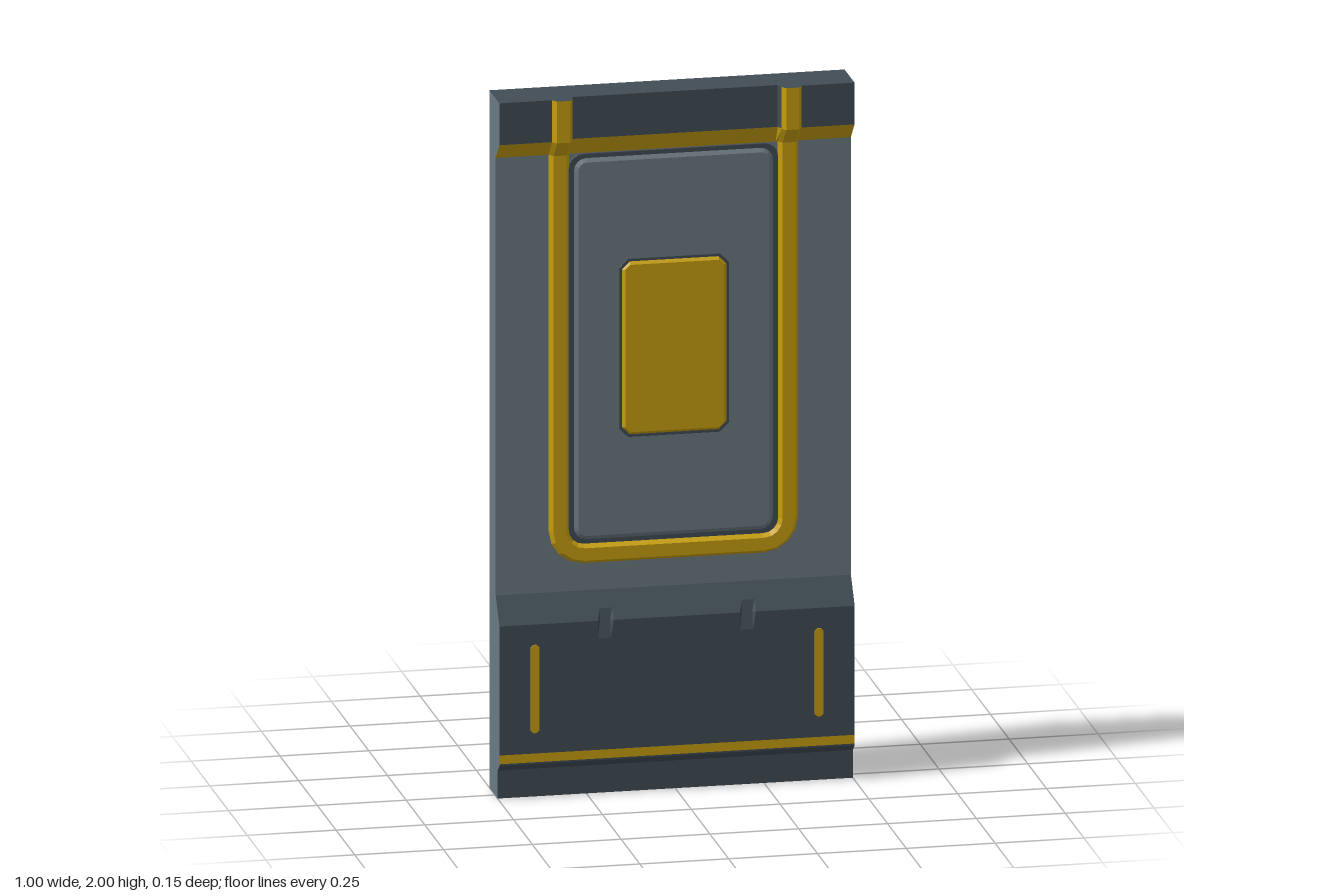
import * as THREE from 'three';

const paint = (name, color) => Object.assign(new THREE.MeshStandardMaterial({ color }), { name });
const GREY = 0, DARK = 1, GOLD = 2;

// Skin a row of cross-sections with flat faces; strips[j] is the colour of profile edge j.
// caps: [{ ring, axes, dir, mat }] closes an end.
function loft(name, mats, rings, strips, caps = []) {
  const buckets = mats.map(() => []);
  const n = rings[0].length;
  for (let i = 0; i < rings.length - 1; i++) {
    strips.forEach((m, j) => {
      const k = (j + 1) % n;
      const a = rings[i][j], b = rings[i][k], c = rings[i + 1][k], d = rings[i + 1][j];
      buckets[m].push(...a, ...d, ...c, ...a, ...c, ...b);
    });
  }
  for (const { ring, axes: [u, v], dir, mat } of caps) {
    const flat = ring.map(p => new THREE.Vector2(p[u], p[v]));
    for (const f of THREE.ShapeUtils.triangulateShape(flat, [])) {
      const [a, b, c] = f.map(i => new THREE.Vector3(...ring[i]));
      const nrm = b.clone().sub(a).cross(c.clone().sub(a));
      const order = nrm.dot(new THREE.Vector3(...dir)) > 0 ? [a, b, c] : [a, c, b];
      order.forEach(p => buckets[mat].push(p.x, p.y, p.z));
    }
  }
  const geo = new THREE.BufferGeometry();
  geo.setAttribute('position', new THREE.Float32BufferAttribute(buckets.flat(), 3));
  let start = 0;
  buckets.forEach((b, m) => {
    if (b.length) geo.addGroup(start, b.length / 3, m);
    start += b.length / 3;
  });
  geo.computeVertexNormals();
  const mesh = new THREE.Mesh(geo, mats);
  mesh.name = name;
  return mesh;
}

// Clockwise outline of a rectangle with rounded (or chamfered) corners
function roundRect(x0, x1, y0, y1, r, seg, z) {
  const pts = [];
  const corners = [[x1 - r, y1 - r, 90], [x1 - r, y0 + r, 0], [x0 + r, y0 + r, -90], [x0 + r, y1 - r, -180]];
  for (const [cx, cy, start] of corners) {
    for (let s = 0; s <= seg; s++) {
      const a = THREE.MathUtils.degToRad(start - 90 * s / seg);
      pts.push([cx + r * Math.cos(a), cy + r * Math.sin(a), z]);
    }
  }
  return pts;
}

// Raised plate with a bevelled edge
function plate(name, mats, mat, [x0, x1, y0, y1], r, seg, z0, z1, bevel) {
  const base = roundRect(x0, x1, y0, y1, r, seg, z0);
  const face = roundRect(x0 + bevel, x1 - bevel, y0 + bevel, y1 - bevel, Math.max(r - bevel, r * 0.5), seg, z1);
  return loft(name, mats, [base, face], base.map(() => mat),
    [{ ring: face, axes: [0, 1], dir: [0, 0, 1], mat }]);
}

export function createModel() {
  const group = new THREE.Group();
  const mats = [paint('steel grey', 0x6c7a82), paint('dark slate', 0x414d55), paint('gold', 0xc8a010)];

  // Wall body: side profile carried across x, with a recessed header and two notches
  const section = (x, top, notch) => [
    [-0.075, 0], [0.036, 0], [0.036, 0.08], [0.06, 0.1], [0.06, 0.105], [0.06, 0.13], [0.06, 0.45],
    [notch ? 0.0475 : 0.06, 0.5], [0.04, 0.53], [0.01, 0.575], [0.01, 1.83],
    [top, 1.88], [top, 2], [-0.075, 2],
  ].map(([z, y]) => [x, y, z]);
  const HIGH = 0.058, LOW = 0.038;
  const half = [[0.5, HIGH, 0], [0.296, HIGH, 0], [0.288, LOW, 0], [0.222, LOW, 0],
    [0.214, LOW, 1], [0.186, LOW, 1], [0.178, LOW, 0]];
  const rings = [...half.map(([x, t, k]) => section(-x, t, k)),
    ...half.slice().reverse().map(([x, t, k]) => section(x, t, k))];
  const strips = [GREY, DARK, DARK, DARK, GOLD, DARK, DARK, DARK, DARK, GREY, GOLD, DARK, DARK, GREY];
  group.add(loft('wallBody', mats, rings, strips, [
    { ring: rings[0], axes: [2, 1], dir: [-1, 0, 0], mat: GREY },
    { ring: rings[rings.length - 1], axes: [2, 1], dir: [1, 0, 0], mat: GREY },
  ]));

  // U-shaped rail: trapezoid swept down one side, round the corners and up the other
  const X = 0.3225, R = 0.07, Y = 0.682;
  const path = [[-X, 2, HIGH, 1, 0], [-X, 1.88, HIGH, 1, 0], [-X, 1.83, 0.01, 1, 0]];
  for (let s = 0; s <= 4; s++) {
    const a = s / 4 * Math.PI / 2;
    path.push([-X + R - R * Math.cos(a), Y + R - R * Math.sin(a), 0.01, Math.cos(a), Math.sin(a)]);
  }
  path.push(...path.slice().reverse().map(([x, y, z, nx, ny]) => [-x, y, z, -nx, ny]));
  const trapezoid = [[-0.0285, 0], [-0.018, 0.016], [0.018, 0.016], [0.0285, 0]];
  const rail = path.map(([x, y, z, nx, ny]) => trapezoid.map(([o, h]) => [x + nx * o, y + ny * o, z + h]));
  group.add(loft('frameRail', mats, rail, [GOLD, GOLD, GOLD],
    [rail[0], rail[rail.length - 1]].map(ring => ({ ring, axes: [0, 2], dir: [0, 1, 0], mat: DARK }))));

  // Dark channel, raised inner panel and gold centre plate
  group.add(plate('panelChannel', mats, DARK, [-0.295, 0.295, 0.705, 1.828], 0.04, 4, 0.01, 0.0115, 0.001));
  group.add(plate('innerPanel', mats, GREY, [-0.28, 0.28, 0.722, 1.815], 0.035, 4, 0.0115, 0.019, 0.011));
  group.add(plate('centrePlateRim', mats, DARK, [-0.155, 0.155, 1.01, 1.522], 0.026, 1, 0.019, 0.0205, 0.001));
  group.add(plate('centrePlate', mats, GOLD, [-0.147, 0.147, 1.018, 1.514], 0.022, 1, 0.0205, 0.029, 0.008));

  // Narrow gold markers on the lower block
  for (const side of [-1, 1]) {
    const marker = plate(side < 0 ? 'rightMarker' : 'leftMarker', mats, GOLD,
      [-0.0125, 0.0125, 0.188, 0.442], 0.008, 1, 0.06, 0.0615, 0.001);
    marker.position.x = side * 0.4;
    group.add(marker);
  }
  return group;
}
